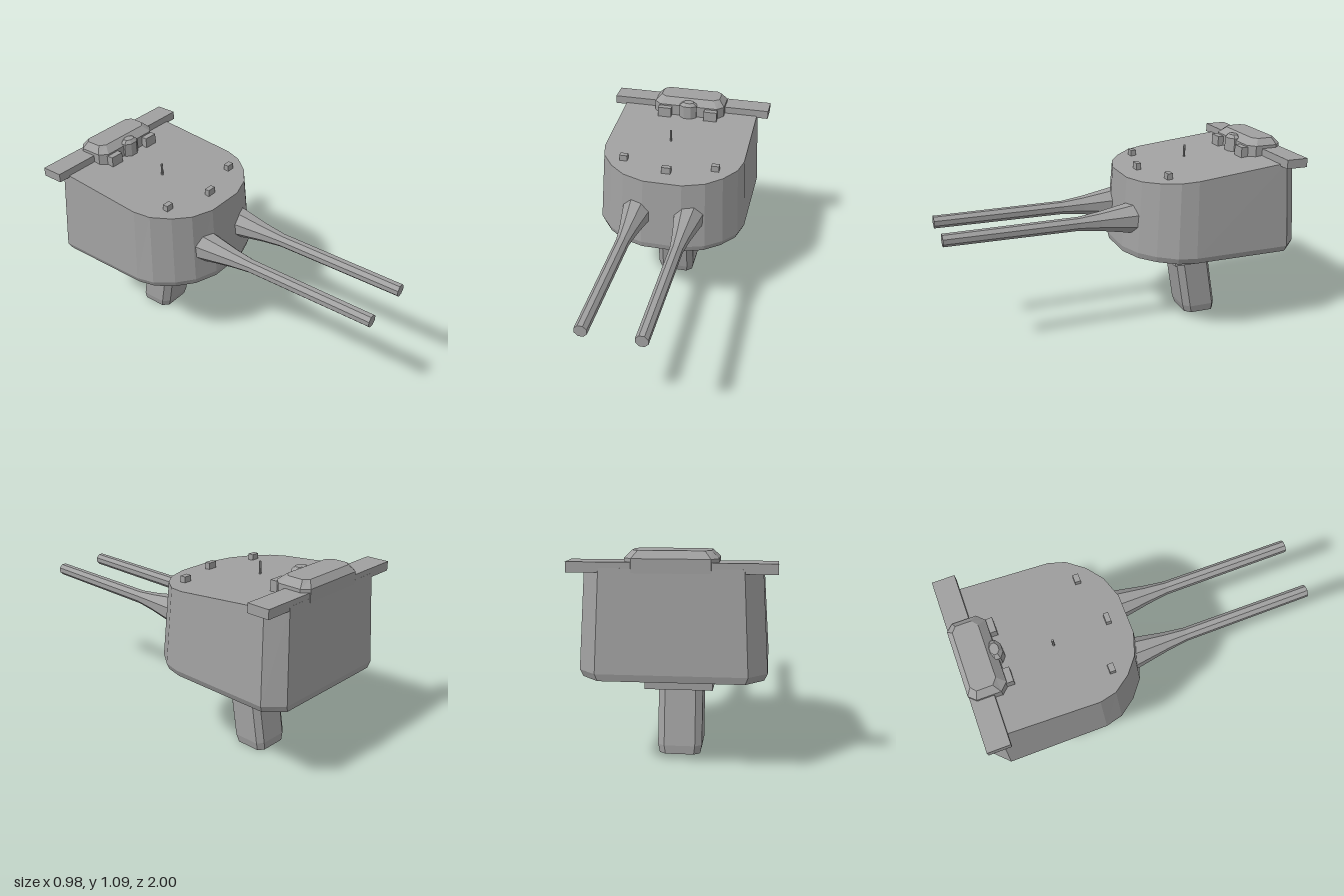
import * as THREE from 'three';

// Skin a stack of horizontal rings (bottom to top), each counter-clockwise seen from above, with caps
function loft(rings) {
  const pos = [];
  const tri = (a, b, c) => pos.push(...a, ...b, ...c);
  const n = rings[0].length;
  for (let r = 0; r < rings.length - 1; r++) {
    for (let i = 0; i < n; i++) {
      const j = (i + 1) % n, lo = rings[r], hi = rings[r + 1];
      tri(lo[i], lo[j], hi[j]);
      tri(lo[i], hi[j], hi[i]);
    }
  }
  const bottom = rings[0], top = rings[rings.length - 1];
  for (let i = 1; i < n - 1; i++) {
    tri(bottom[0], bottom[i + 1], bottom[i]);
    tri(top[0], top[i], top[i + 1]);
  }
  const geo = new THREE.BufferGeometry();
  geo.setAttribute('position', new THREE.Float32BufferAttribute(pos, 3));
  geo.computeVertexNormals();
  return geo;
}

// Complete a half outline [x, z] (front to back on +x) with its mirror image
const mirror = half => [...half, ...half.slice().reverse().map(([x, z]) => [-x, z])];

// Place an outline at a height, scaled about a centre z
const ring = (outline, y, sx, sz, cz, dz = 0) =>
  outline.map(([x, z]) => {
    const zz = cz + (z - cz) * sz + dz;
    return [x * sx, typeof y === 'function' ? y(zz) : y, zz];
  });

export function createModel() {
  const model = new THREE.Group();
  model.name = 'gunTurret';
  const grey = new THREE.MeshStandardMaterial({ color: 0xa0a0a0 });
  grey.name = 'armour grey';
  grey.flatShading = true;

  const add = (name, geo, x = 0, y = 0, z = 0) => {
    const mesh = new THREE.Mesh(geo, grey);
    mesh.name = name;
    mesh.position.set(x, y, z);
    model.add(mesh);
    return mesh;
  };
  // Box given by its limits on each axis
  const box = (name, x0, x1, y0, y1, z0, z1) =>
    add(name, new THREE.BoxGeometry(x1 - x0, y1 - y0, z1 - z0),
      (x0 + x1) / 2, (y0 + y1) / 2, (z0 + z1) / 2);

  // Armoured gunhouse: rounded front, chamfered rear, sloping roof
  const hull = mirror([[0.12, -0.02], [0.255, -0.065], [0.35, -0.14], [0.425, -0.24],
    [0.45, -0.34], [0.45, -0.91], [0.36, -1]]);
  const roofY = z => 0.915 + (-0.05 - z) * 0.1;
  add('gunhouse', loft([
    ring(hull, 0.475, 0.965, 0.985, -0.51),
    ring(hull, 0.51, 1, 1, -0.51),
    ring(hull, roofY, 0.94, 0.94, -0.51),
  ]));

  // Collar and raked trunk below the gunhouse
  box('collar', -0.174, 0.174, 0.355, 0.48, -0.68, -0.337);
  const trunk = mirror([[0.08, -0.385], [0.115, -0.42], [0.115, -0.567], [0.08, -0.593]]);
  add('trunk', loft([
    ring(trunk, 0, 0.92, 0.92, -0.49, -0.062),
    ring(trunk, 0.045, 1, 1, -0.49, -0.055),
    ring(trunk, 0.36, 1, 1, -0.49),
  ]));

  // Twin octagonal guns with stepped tapers
  const flat = Math.cos(Math.PI / 8);
  const gunProfile = [[0, -0.075], [0.084, -0.075], [0.05, 0.13], [0.036, 0.25], [0.033, 1], [0, 1]]
    .map(([r, z]) => new THREE.Vector2(r / flat, z));
  const gunGeo = new THREE.LatheGeometry(gunProfile, 8, Math.PI / 8).rotateX(Math.PI / 2);
  for (const side of [-1, 1]) {
    add(side > 0 ? 'leftGun' : 'rightGun', gunGeo, side * 0.153, 0.689, 0);
  }

  // Rangefinder bar across the rear roof
  box('rangefinderBar', -0.492, 0.492, 0.985, 1.035, -0.97, -0.845);

  // Bevelled command hood
  const hood = mirror([[0.18, -0.765], [0.22, -0.805], [0.22, -0.935], [0.185, -0.972]]);
  add('hood', loft([
    ring(hood, 0.985, 1, 1, -0.87),
    ring(hood, 1.052, 1, 1, -0.87),
    ring(hood, 1.088, 0.84, 0.66, -0.89),
  ]));

  // Small sighting dome in front of the hood
  const domeProfile = [[0, 0.98], [0.058, 0.98], [0.058, 1.062], [0.034, 1.08], [0, 1.08]]
    .map(([r, y]) => new THREE.Vector2(r, y));
  const dome = new THREE.LatheGeometry(domeProfile, 8, Math.PI / 8).scale(1, 1, 0.72);
  add('sightDome', dome, 0, 0, -0.77);

  // Sight boxes beside the dome and periscopes on the front roof
  for (const side of [-1, 1]) {
    const cx = side * 0.145;
    box('sightBox', cx - 0.041, cx + 0.041, 0.975, 1.043, -0.8, -0.73);
    const px = side * 0.273;
    box('sidePeriscope', px - 0.023, px + 0.023, 0.92, 0.967, -0.25, -0.218);
  }
  box('frontPeriscope', -0.027, 0.027, 0.91, 0.963, -0.172, -0.143);

  // Short roof antenna
  add('antenna', new THREE.CylinderGeometry(0.007, 0.007, 0.085, 6), -0.044, 0.985, -0.475);

  return model;
}
